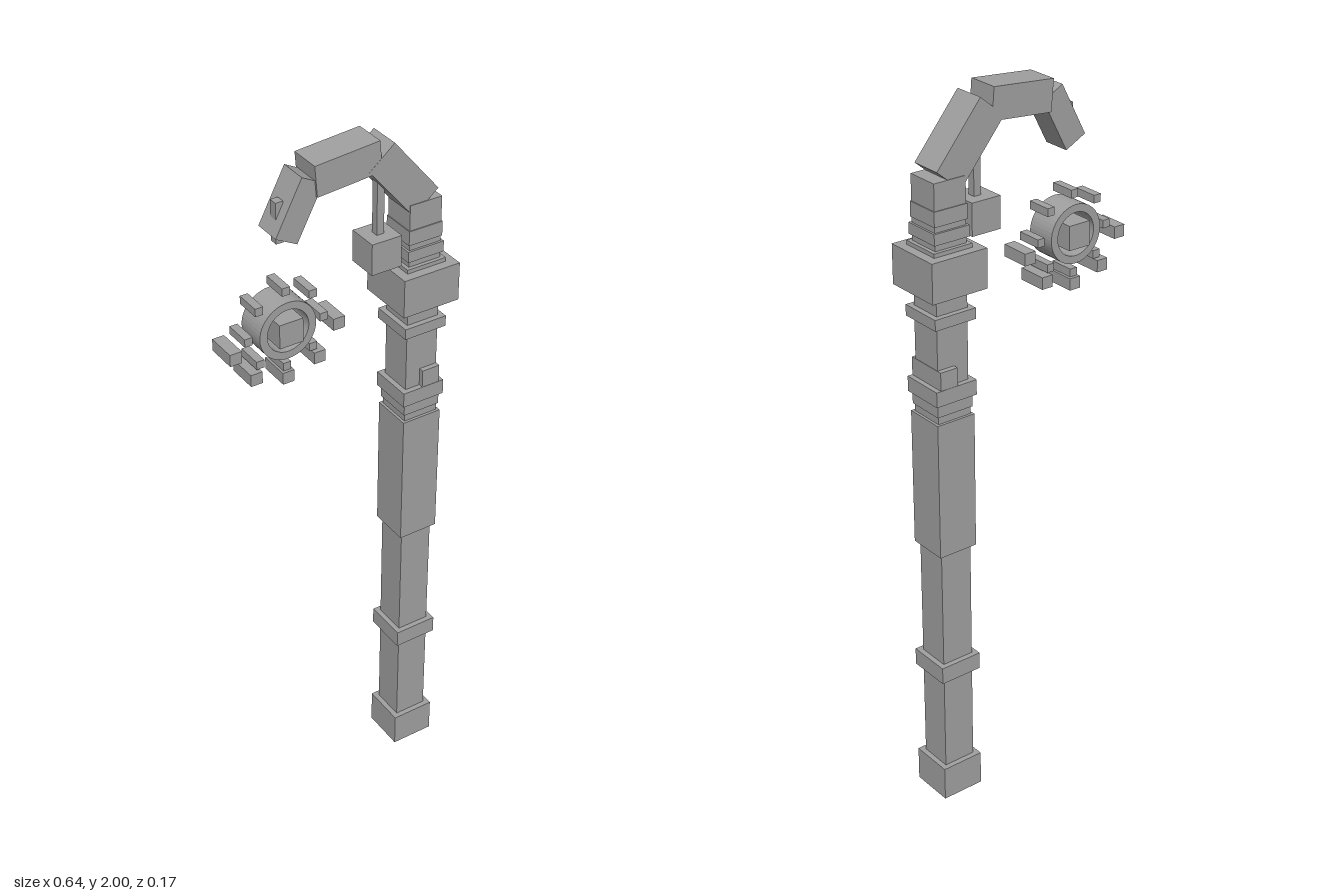
import * as THREE from 'three';

export function createModel() {
  const model = new THREE.Group();
  const grey = new THREE.MeshStandardMaterial({ color: 0xa0a0a0 });
  grey.name = 'stone grey';

  const box = (name, parent, x, y, w, h, d, angle = 0) => {
    const mesh = new THREE.Mesh(new THREE.BoxGeometry(w, h, d), grey);
    mesh.name = name;
    mesh.position.set(x, y, 0);
    mesh.rotation.z = angle;
    parent.add(mesh);
    return mesh;
  };
  const group = (name) => {
    const g = new THREE.Group();
    g.name = name;
    model.add(g);
    return g;
  };

  // Square post: name, bottom, top, width
  const post = group('post');
  const postX = 0.236;
  [
    ['foot', 0, 0.1, 0.124],
    ['shaft', 0.1, 1.8, 0.094],
    ['lowerCollar', 0.386, 0.435, 0.124],
    ['grip', 0.777, 1.163, 0.115],
    ['gripTrim', 1.163, 1.184, 0.1],
    ['middleCollarBase', 1.184, 1.218, 0.108],
    ['middleCollar', 1.218, 1.26, 0.124],
    ['upperCollar', 1.427, 1.457, 0.124],
    ['headBlock', 1.51, 1.617, 0.166],
    ['headCap', 1.617, 1.628, 0.115],
    ['neckBand', 1.645, 1.675, 0.106],
    ['neckTrim', 1.69, 1.73, 0.099],
  ].forEach(([name, y0, y1, w]) => box(name, post, postX, (y0 + y1) / 2, w, y1 - y0, w));
  box('collarTab', post, 0.258, 1.265, 0.052, 0.09, 0.122);

  // Hooked arch of three tilted beams, each given by its outer edge
  const arch = group('arch');
  const beam = (name, x0, y0, x1, y1, thick, depth) => {
    const a = Math.atan2(y1 - y0, x1 - x0);
    const x = (x0 + x1) / 2 + Math.sin(a) * thick / 2;
    const y = (y0 + y1) / 2 - Math.cos(a) * thick / 2;
    box(name, arch, x, y, Math.hypot(x1 - x0, y1 - y0), thick, depth, a);
  };
  beam('archRiser', 0.141, 1.983, 0.272, 1.825, 0.092, 0.09);
  beam('archCrown', -0.082, 1.985, 0.1, 2.0, 0.084, 0.089);
  beam('archTip', -0.188, 1.822, -0.114, 1.963, 0.067, 0.078);
  box('tipPin', arch, -0.16, 1.845, 0.021, 0.11, 0.024);

  // Hanging lantern under the arch
  const lantern = group('lantern');
  box('lanternRod', lantern, 0.127, 1.81, 0.021, 0.18, 0.021);
  box('lanternBlock', lantern, 0.125, 1.68, 0.087, 0.087, 0.087);

  // Floating emblem: core, ring and surrounding studs
  const emblem = group('emblem');
  emblem.position.set(-0.16, 1.562, 0);
  box('core', emblem, 0, 0, 0.067, 0.067, 0.117);
  const shape = new THREE.Shape().absarc(0, 0, 0.08, 0, Math.PI * 2);
  shape.holes.push(new THREE.Path().absarc(0, 0, 0.059, 0, Math.PI * 2, true));
  const ring = new THREE.Mesh(
    new THREE.ExtrudeGeometry(shape, { depth: 0.086, bevelEnabled: false, curveSegments: 24 }), grey);
  ring.name = 'ring';
  ring.position.z = -0.043;
  emblem.add(ring);
  for (let i = 0; i < 8; i++) {
    const a = i * Math.PI / 4;
    box('smallStud', emblem, Math.cos(a) * 0.107, Math.sin(a) * 0.107, 0.022, 0.022, 0.072);
  }
  [[-0.147, -0.03], [0.147, -0.03], [-0.091, -0.109], [0.091, -0.109], [0, -0.136]]
    .forEach(([x, y]) => box('largeStud', emblem, x, y, 0.033, 0.033, 0.085));

  return model;
}
